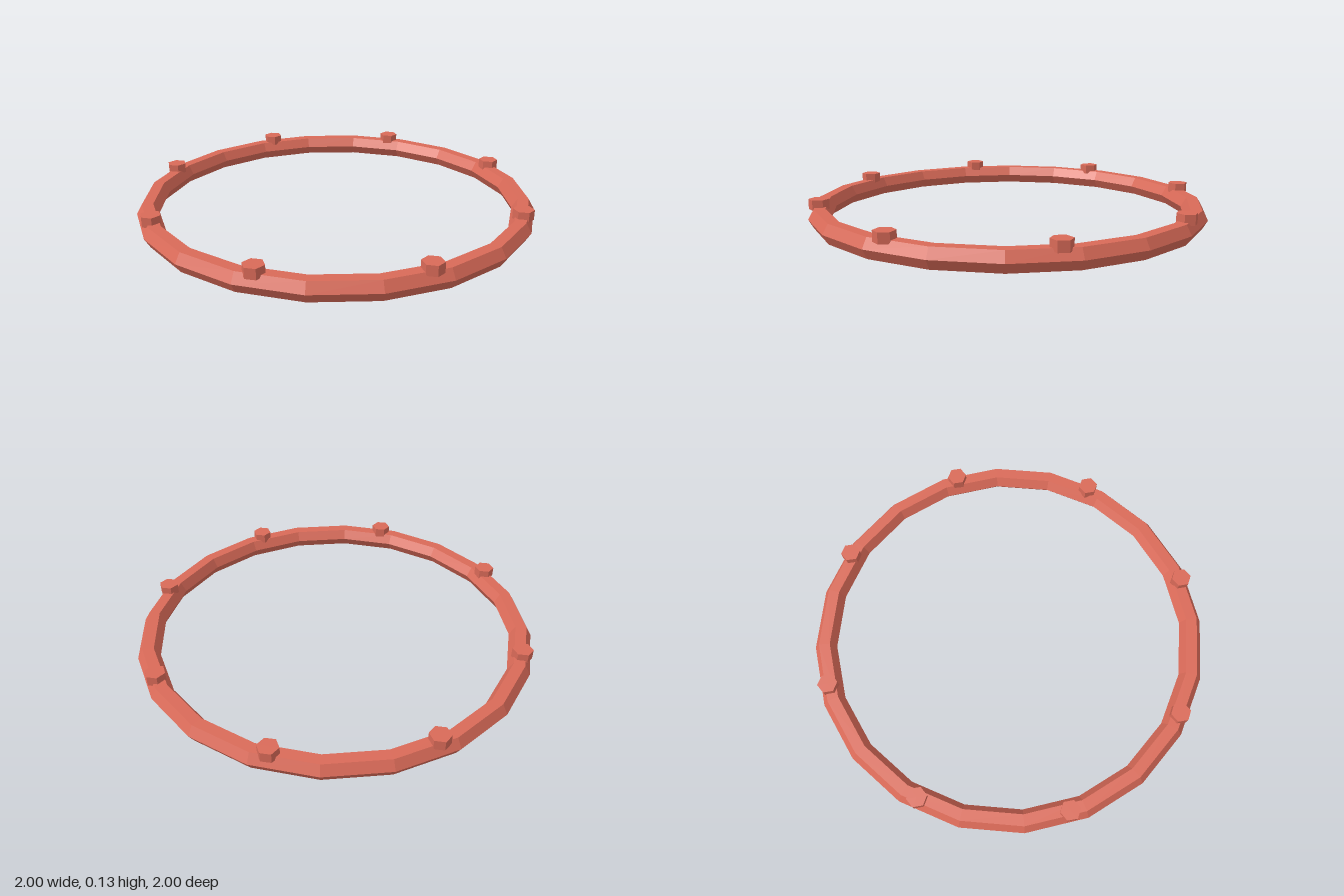
import * as THREE from 'three';

const RING_RADIUS = 0.945;
const TUBE_RADIUS = 0.055;
const STUD_COUNT = 8;

export function createModel() {
  const model = new THREE.Group();
  model.name = 'studdedRing';
  const material = new THREE.MeshStandardMaterial({ color: 0xd96a58, flatShading: true });

  // Twenty-sided ring with a hexagonal section, lying flat
  const ringGeometry = new THREE.TorusGeometry(RING_RADIUS, TUBE_RADIUS, 6, 20);
  ringGeometry.rotateX(Math.PI / 2);
  const ring = new THREE.Mesh(ringGeometry, material);
  ring.name = 'ring';
  ring.position.y = TUBE_RADIUS * Math.sin(Math.PI / 3);
  model.add(ring);

  // Hexagonal studs sunk into the top of the ring, all facing the same way
  const studs = new THREE.Group();
  studs.name = 'studs';
  const studGeometry = new THREE.CylinderGeometry(0.05, 0.05, 0.05, 6);
  for (let i = 0; i < STUD_COUNT; i++) {
    const angle = ((i + 0.5) / STUD_COUNT) * Math.PI * 2;
    const stud = new THREE.Mesh(studGeometry, material);
    stud.name = `stud${i + 1}`;
    stud.position.set(Math.cos(angle) * RING_RADIUS, 0.106, Math.sin(angle) * RING_RADIUS);
    studs.add(stud);
  }
  model.add(studs);

  return model;
}
